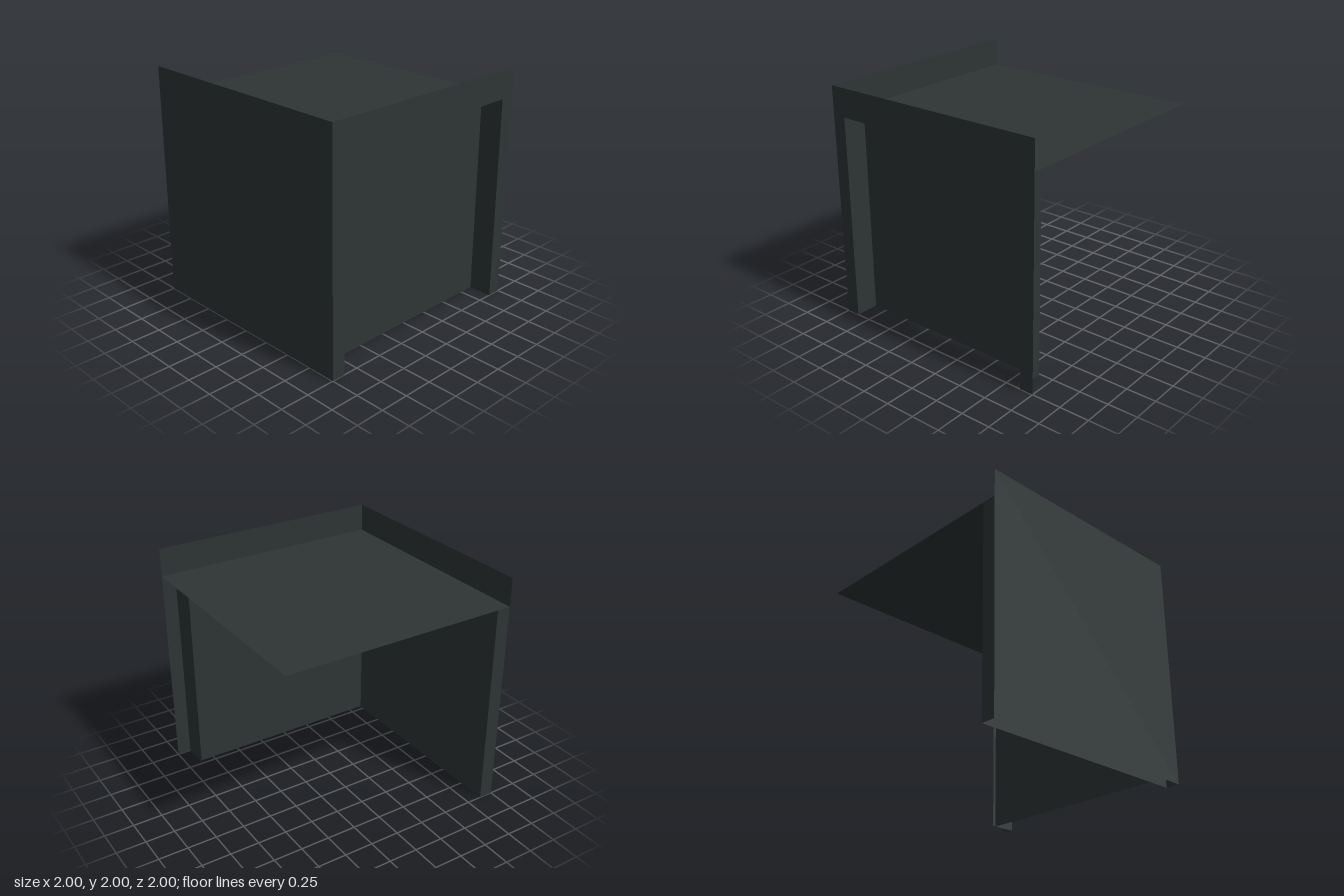
import * as THREE from 'three';

export function createModel() {
  const model = new THREE.Group();
  const paint = new THREE.MeshStandardMaterial({ color: 0x2d3534, side: THREE.DoubleSide });
  paint.name = 'dark slate';

  const IN = 0.88;    // half width of the opening
  const TOP = 1.76;   // height of the deck and opening

  const add = (name, geometry) => {
    const mesh = new THREE.Mesh(geometry, paint);
    mesh.name = name;
    model.add(mesh);
  };

  // Thin sheet facing +z, spanning x0..x1 and y0..y1
  const facingZ = (x0, x1, y0, y1, z) =>
    new THREE.PlaneGeometry(x1 - x0, y1 - y0).translate((x0 + x1) / 2, (y0 + y1) / 2, z);

  // Thin sheet facing +x, spanning z0..z1 and y0..y1
  const facingX = (z0, z1, y0, y1, x) =>
    new THREE.PlaneGeometry(z1 - z0, y1 - y0).rotateY(Math.PI / 2).translate(x, (y0 + y1) / 2, (z0 + z1) / 2);

  // Front frame: two posts and a lintel in one sheet
  const frame = new THREE.Shape([
    [-1, 0], [-IN, 0], [-IN, TOP], [IN, TOP], [IN, 0], [1, 0], [1, 2], [-1, 2],
  ].map(([x, y]) => new THREE.Vector2(x, y)));
  add('frontFrame', new THREE.ShapeGeometry(frame).translate(0, 0, 1));

  // Recessed panel and the jamb beside it
  add('recessedPanel', facingZ(-IN, IN, 0, TOP, 0.795));
  add('jamb', facingX(0.765, 1, 0, TOP, IN));

  // Double side wall, closed at the back by a narrow post
  add('outerWall', facingX(-1, 1, 0, 2, -1));
  add('innerWall', facingX(-1, 1, 0, TOP, -IN));
  add('backPost', facingZ(-1, -IN, 0, TOP, -1));

  // Sunken deck
  add('deck', new THREE.PlaneGeometry(2, 2).rotateX(-Math.PI / 2).translate(0, TOP, 0));

  return model;
}
